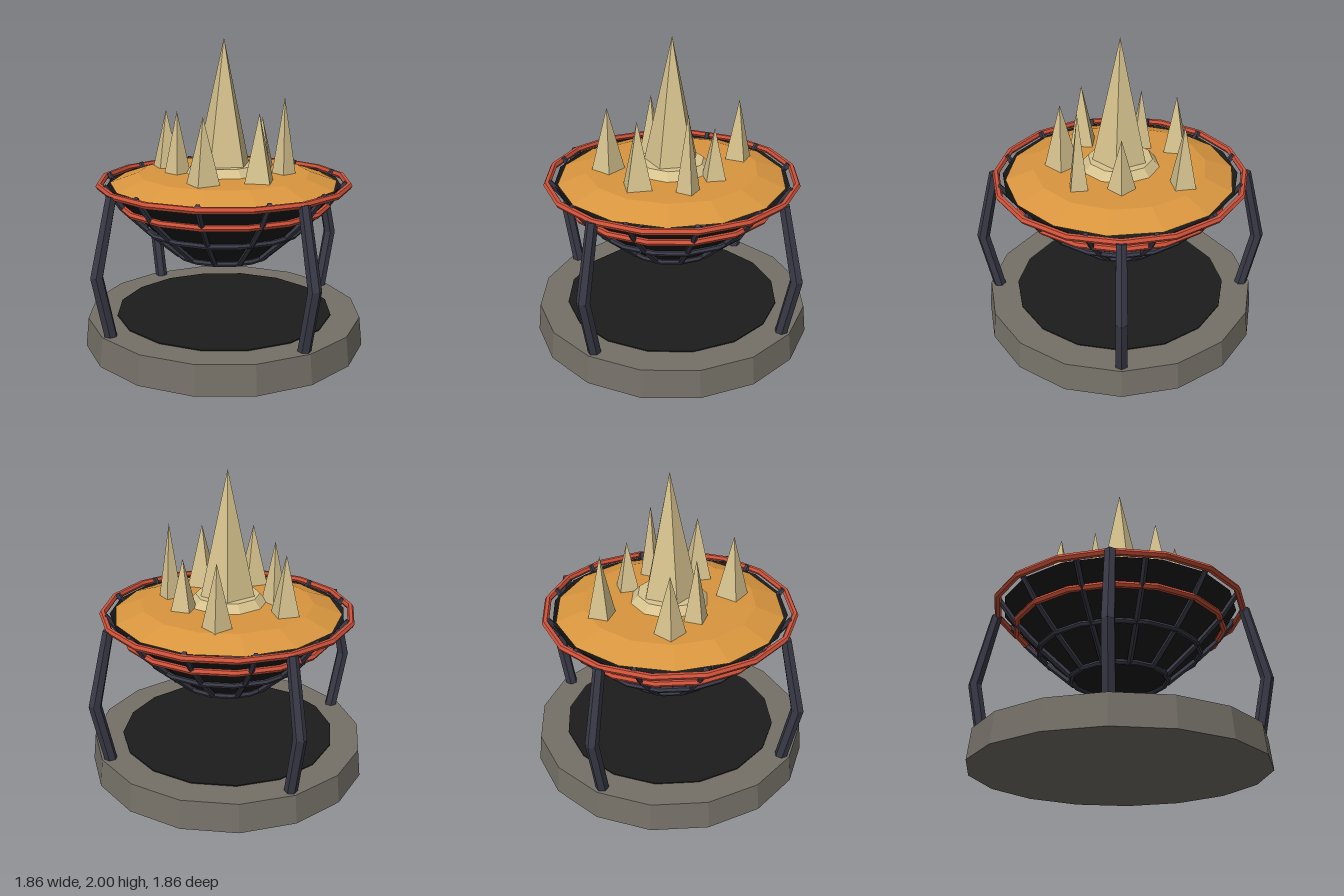
import * as THREE from 'three';

const mat = (name, color, extra = {}) => {
  const m = new THREE.MeshStandardMaterial({ color, flatShading: true, ...extra });
  m.name = name;
  return m;
};

export function createModel() {
  const stone = mat('grey stone', 0x757168);
  const soot = mat('black soot', 0x1c1c1c, { side: THREE.DoubleSide });
  const iron = mat('dark iron', 0x3a3a48);
  const rust = mat('red iron', 0xcf523a);
  const ember = mat('orange embers', 0xd9963f);
  const crystal = mat('pale crystal', 0xd8c48f);

  const model = new THREE.Group();
  model.name = 'brazier';

  const add = (name, geometry, material, x = 0, y = 0, z = 0, turn = 0, parent = model) => {
    const mesh = new THREE.Mesh(geometry, material);
    mesh.name = name;
    mesh.position.set(x, y, z);
    mesh.rotation.y = turn;
    parent.add(mesh);
    return mesh;
  };
  const lathe = (points, sides) =>
    new THREE.LatheGeometry(points.map(([r, y]) => new THREE.Vector2(r, y)), sides);

  // Bar between two [radius, height] points in the z-y plane
  const bar = (name, parent, [r0, y0], [r1, y1], t0, t1, sides) => {
    const a = new THREE.Vector3(0, y0, r0), b = new THREE.Vector3(0, y1, r1);
    const dir = b.clone().sub(a);
    const mesh = add(name, new THREE.CylinderGeometry(t1, t0, dir.length(), sides), iron, 0, 0, 0, 0, parent);
    mesh.position.copy(a).add(b).multiplyScalar(0.5);
    mesh.quaternion.setFromUnitVectors(new THREE.Vector3(0, 1, 0), dir.normalize());
  };

  // Stone base with a dark disc on top
  add('base', new THREE.CylinderGeometry(0.91, 0.93, 0.19, 16), stone, 0, 0.095, 0);
  add('baseDisc', new THREE.CylinderGeometry(0.72, 0.72, 0.009, 16), soot, 0, 0.1925, 0);

  // Bowl shell
  add('bowl', lathe([[0, 0.6], [0.29, 0.6], [0.495, 0.785], [0.655, 0.94], [0.768, 1.07]], 16), soot);

  // Hoops around the bowl: radius, height, tube, material
  [
    ['bottomHoop', 0.31, 0.6, 0.018, iron],
    ['lowerHoop', 0.522, 0.777, 0.018, iron],
    ['upperHoop', 0.68, 0.935, 0.021, rust],
    ['rimHoop', 0.813, 1.074, 0.022, rust],
  ].forEach(([name, r, y, tube, material]) => {
    add(name, new THREE.TorusGeometry(r, tube, 6, 16).rotateX(Math.PI / 2), material, 0, y, 0);
  });

  // Twelve bent ribs
  const ribPath = [[0.31, 0.6], [0.512, 0.777], [0.672, 0.935], [0.793, 1.095]];
  for (let i = 0; i < 12; i++) {
    const rib = new THREE.Group();
    rib.name = 'rib';
    rib.rotation.y = (i * Math.PI) / 6;
    for (let k = 0; k < 3; k++) bar('ribSegment', rib, ribPath[k], ribPath[k + 1], 0.019, 0.019, 5);
    model.add(rib);
  }

  // Four bent legs on the diagonals
  for (let i = 0; i < 4; i++) {
    const leg = new THREE.Group();
    leg.name = 'leg';
    leg.rotation.y = Math.PI / 4 + (i * Math.PI) / 2;
    bar('lowerLeg', leg, [0.85, 0.18], [0.935, 0.595], 0.042, 0.042, 6);
    bar('upperLeg', leg, [0.935, 0.58], [0.82, 1.075], 0.042, 0.036, 6);
    model.add(leg);
  }

  // Ember bed and crystal plinth
  add('emberBed', lathe([[0.745, 1.07], [0.562, 1.135], [0, 1.14]], 14), ember);
  add('plinth', new THREE.CylinderGeometry(0.21, 0.272, 0.07, 10), crystal, 0, 1.155, 0);

  // Central spire
  add('spire', new THREE.ConeGeometry(0.195, 0.87, 5), crystal, 0, 1.565, 0, -Math.PI / 2);

  // Small four-sided spikes: x, z, tip height, radius, turn
  [
    [-0.415, -0.11, 1.52, 0.1, -0.2],
    [-0.29, 0.09, 1.54, 0.085, 0.2],
    [-0.05, 0.41, 1.55, 0.108, -0.08],
    [0.27, 0.265, 1.56, 0.112, Math.PI / 4],
    [0.39, -0.025, 1.63, 0.077, 0.1],
    [0.22, -0.228, 1.47, 0.09, Math.PI / 4],
    [-0.085, -0.463, 1.54, 0.094, 0.2],
  ].forEach(([x, z, tip, r, turn]) => {
    const h = tip - 1.13;
    add('spike', new THREE.ConeGeometry(r, h, 4), crystal, x, 1.13 + h / 2, z, turn);
  });

  return model;
}
